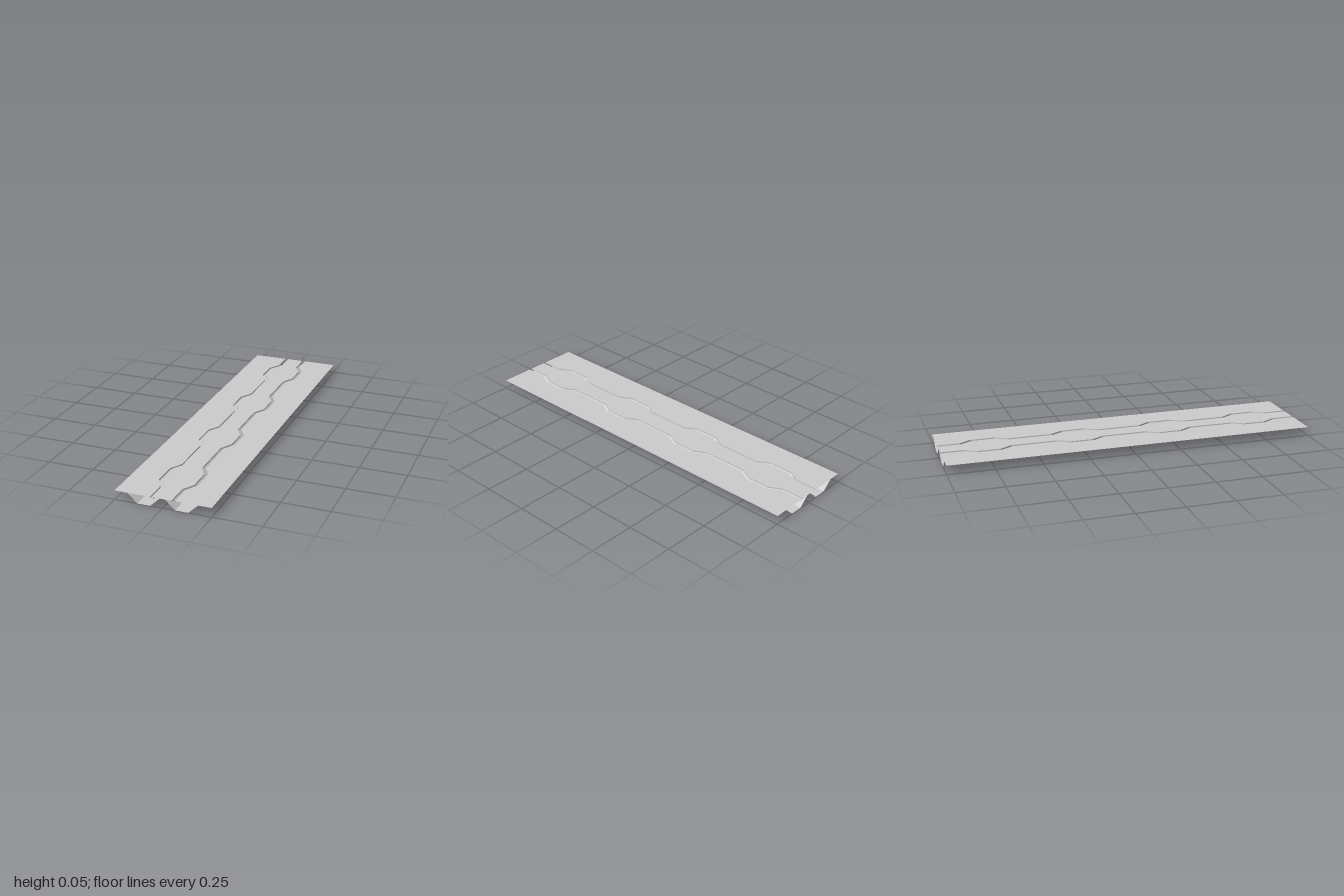
import * as THREE from 'three';

const TOP = 0.048, LIP = 0.04, HALF_W = 0.25, HALF_L = 1;

const material = new THREE.MeshStandardMaterial({
  color: 0xcccccc, flatShading: true, side: THREE.DoubleSide,
});

function mesh(name, geometry) {
  const m = new THREE.Mesh(geometry, material);
  m.name = name;
  return m;
}

// Strip of quads joining two point rows of equal length
function ribbon(rowA, rowB) {
  const pos = [];
  for (let i = 0; i < rowA.length - 1; i++) {
    const [a, b, c, d] = [rowA[i], rowA[i + 1], rowB[i + 1], rowB[i]];
    pos.push(...a, ...b, ...c, ...a, ...c, ...d);
  }
  const g = new THREE.BufferGeometry();
  g.setAttribute('position', new THREE.Float32BufferAttribute(pos, 3));
  g.computeVertexNormals();
  return g;
}

// Slot edge along z as [x, z]: straight runs that bulge outward four times
function slotEdge(narrow, wide, narrowHalf, wideHalf) {
  const pts = [[narrow, -HALF_L]];
  for (const c of [-0.75, -0.25, 0.25, 0.75]) {
    pts.push([narrow, c - narrowHalf], [wide, c - wideHalf],
      [wide, c + wideHalf], [narrow, c + narrowHalf]);
  }
  pts.push([narrow, HALF_L]);
  return pts;
}

const mirror = (pts, side) => pts.map(([x, z]) => [side * x, z]);

// Flat horizontal plate from an [x, z] outline
function plate(name, outline) {
  const shape = new THREE.Shape(outline.map(([x, z]) => new THREE.Vector2(x, -z)));
  const g = new THREE.ShapeGeometry(shape);
  g.rotateX(-Math.PI / 2);
  g.translate(0, TOP, 0);
  return mesh(name, g);
}

// Short wall hanging from a slot edge
function lip(name, edge) {
  return mesh(name, ribbon(edge.map(([x, z]) => [x, TOP, z]),
    edge.map(([x, z]) => [x, LIP, z])));
}

export function createModel() {
  const group = new THREE.Group();
  group.name = 'slottedPanel';

  const inner = slotEdge(0.047, 0.083, 0.125, 0.061);
  const outer = slotEdge(0.064, 0.101, 0.13, 0.066);

  // Centre plate between the two slots
  group.add(plate('centrePlate', [...inner, ...mirror(inner, -1).reverse()]));

  // Open trapezoid channel under each slot, as [x, y]
  const channel = [[0.013, TOP], [0.064, 0], [0.131, 0], [0.183, TOP]];

  for (const side of [1, -1]) {
    const label = side > 0 ? 'left' : 'right';
    const outerEdge = mirror(outer, side);

    // Side plate outside the slot
    group.add(plate(label + 'SidePlate',
      [...outerEdge, [side * HALF_W, HALF_L], [side * HALF_W, -HALF_L]]));

    // Slot walls
    group.add(lip(label + 'InnerSlotWall', mirror(inner, side)));
    group.add(lip(label + 'OuterSlotWall', outerEdge));

    // Channel below
    group.add(mesh(label + 'Channel', ribbon(
      channel.map(([x, y]) => [side * x, y, HALF_L]),
      channel.map(([x, y]) => [side * x, y, -HALF_L]))));
  }
  return group;
}
